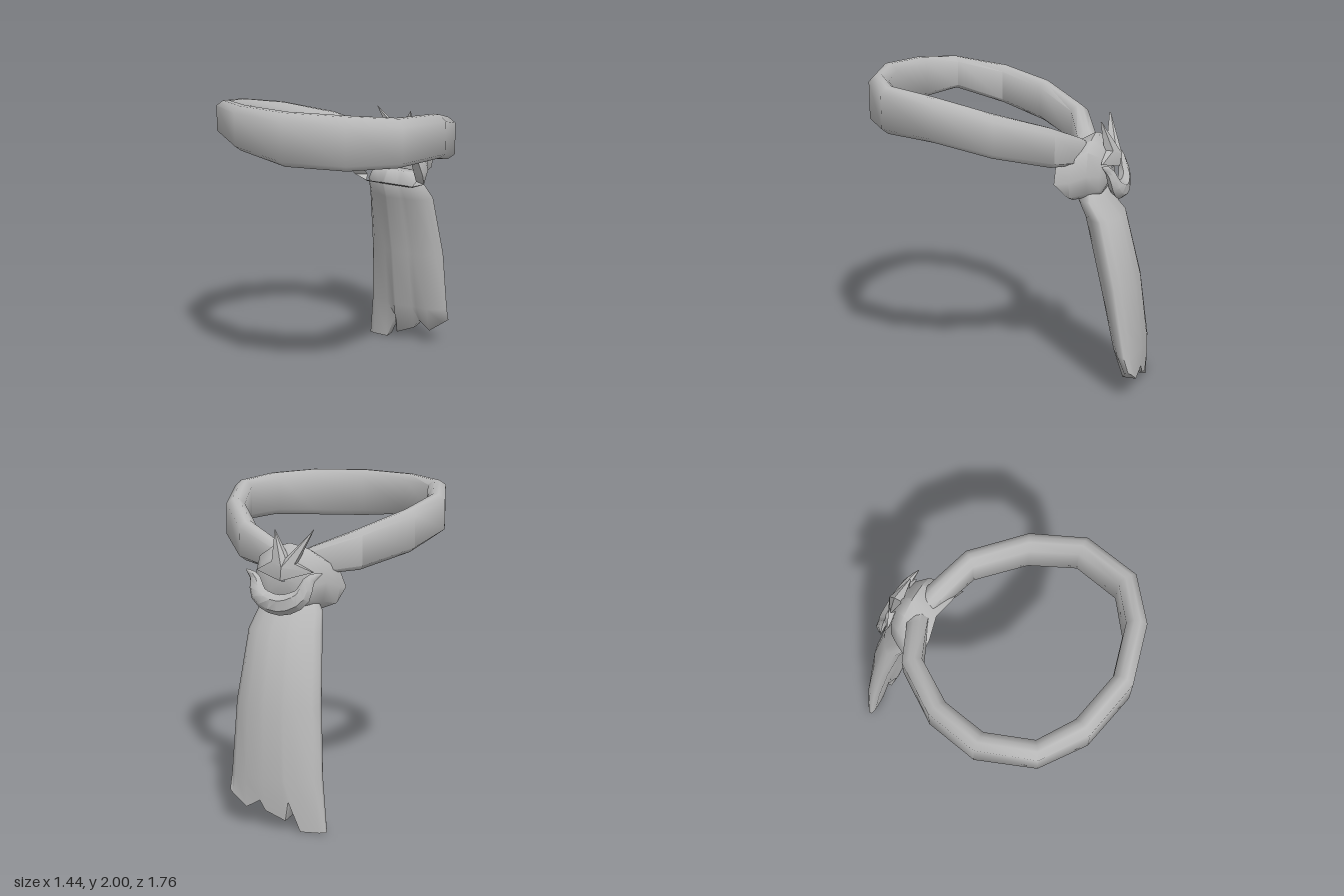
import * as THREE from 'three';
import { toCreasedNormals } from 'three/addons/utils/BufferGeometryUtils.js';

// Skin a list of equal-length rings of [x, y, z]; faces are turned to point outward.
function loft(rings, { loop = false, caps = false, crease = 0.9 } = {}) {
  const n = rings[0].length, m = rings.length, p = rings.flat(), idx = [];
  for (let r = 0; r < (loop ? m : m - 1); r++) {
    for (let i = 0; i < n; i++) {
      const a = r * n + i, b = r * n + (i + 1) % n;
      const c = ((r + 1) % m) * n + i, d = ((r + 1) % m) * n + (i + 1) % n;
      idx.push(a, b, d, a, d, c);
    }
  }
  if (caps) {
    // zip opposite sides of the end rings together
    for (const [o, flip] of [[0, true], [(m - 1) * n, false]]) {
      for (let i = 0; i < n / 2 - 1; i++) {
        const a = o + i, b = o + i + 1, c = o + n - 2 - i, d = o + n - 1 - i;
        idx.push(...(flip ? [a, c, b, a, d, c] : [a, b, c, a, c, d]));
      }
    }
  }
  const v = p.map((q) => new THREE.Vector3(...q));
  const mid = new THREE.Box3().setFromPoints(v).getCenter(new THREE.Vector3());
  const w = v.map((q) => q.clone().sub(mid));
  let volume = 0;
  for (let i = 0; i < idx.length; i += 3) {
    volume += w[idx[i]].dot(w[idx[i + 1]].clone().cross(w[idx[i + 2]]));
  }
  if (volume < 0) idx.reverse();
  const g = new THREE.BufferGeometry().setFromPoints(v);
  g.setIndex(idx);
  return toCreasedNormals(g, crease);
}

export function createModel() {
  const group = new THREE.Group();
  const cloth = new THREE.MeshStandardMaterial({ color: 0xb8b8b8 });
  cloth.name = 'grey cloth';
  const add = (name, geometry) => {
    const mesh = new THREE.Mesh(geometry, cloth);
    mesh.name = name;
    group.add(mesh);
  };

  // Neck band: x, z, top, bottom around the loop
  const stations = [
    [0, 0.825, 2, 1.69], [0.345, 0.745, 2, 1.69], [0.575, 0.58, 1.98, 1.7], [0.66, 0.26, 1.95, 1.69],
    [0.575, -0.05, 1.86, 1.6], [0.36, -0.335, 1.75, 1.51], [0.11, -0.445, 1.64, 1.47],
    [0, -0.48, 1.58, 1.42],
    [-0.11, -0.445, 1.63, 1.46], [-0.36, -0.335, 1.73, 1.49], [-0.575, -0.05, 1.83, 1.57],
    [-0.66, 0.26, 1.9, 1.65], [-0.575, 0.58, 1.96, 1.75], [-0.345, 0.745, 1.985, 1.72],
  ];
  const section = [[1, 0.36], [1, -0.38], [0.3, -0.5], [-0.3, -0.5], [-1, -0.38], [-1, 0.36], [-0.3, 0.5], [0.3, 0.5]];
  add('neckBand', loft(stations.map(([x, z, top, bottom], i) => {
    const a = stations[(i + 13) % 14], b = stations[(i + 1) % 14];
    const len = Math.hypot(b[0] - a[0], b[1] - a[1]);
    const nx = -(b[1] - a[1]) / len, nz = (b[0] - a[0]) / len;
    return section.map(([s, h]) => [x + nx * s * 0.06, (top + bottom) / 2 + h * (top - bottom), z + nz * s * 0.06]);
  }), { loop: true, crease: 1.1 }));

  // Knot: a shell open to the front, its side rims curled inward
  const knot = [
    // z, half width, top, bottom
    [-0.345, 0.285, 1.55, 1.27], [-0.435, 0.28, 1.6, 1.26], [-0.53, 0.23, 1.655, 1.28],
    [-0.6, 0.18, 1.6, 1.3], [-0.635, 0.1, 1.52, 1.37], [-0.64, 0.01, 1.46, 1.44],
  ];
  const knotShape = [[0, 1], [0.5, 0.85], [0.85, 0.55], [1, -0.2], [0.9, -0.8], [0.6, -1]];
  const knotRing = [...knotShape, ...knotShape.slice(1).reverse().map(([x, y]) => [-x, y])];
  const knotRings = knot.map(([z, w, top, bottom], r) => knotRing.map(([x, y]) => [
    x * w, (top + bottom) / 2 + y * (top - bottom) / 2,
    z - (r > 0 ? 0 : y < -0.5 ? 0.08 : x === 0 ? 0.03 : 0),
  ]));
  const rim = knotRings[0].map(([x, y, z]) => (Math.abs(x) > 0.2 ? [x * 0.7, y, z - 0.04] : [x, y, z]));
  add('knot', loft([rim, ...knotRings], { crease: 1.1 }));

  // Hanging tail: a padded panel with a ragged hem
  const hem = [[-0.335, 0], [-0.19, 0], [-0.12, 0.18], [-0.1, 0.06], [0.025, 0.11], [0.06, 0.17], [0.15, 0.115], [0.27, 0.2]];
  const rows = [
    // y, left x, right x, centre z, half thickness
    [1.345, -0.16, 0.16, -0.53, 0.04], [1.26, -0.2, 0.2, -0.535, 0.09], [1.15, -0.225, 0.23, -0.61, 0.115],
    [0.73, -0.26, 0.265, -0.715, 0.115], [0.3, -0.3, 0.27, -0.79, 0.09], [0, -0.335, 0.27, -0.815, 0.05],
  ];
  const columns = [0, 0.06, 0.24, 0.355, 0.388, 0.595, 0.653, 0.8, 0.94, 1];
  const hemPoints = [hem[0], [-0.3, 0], ...hem.slice(1, 7), [0.24, 0.18], hem[7]];
  add('tail', loft(rows.map(([y, left, right, z, t], r) => {
    const last = r === rows.length - 1;
    const side = (s) => columns.map((f, i) => {
      const hy = hemPoints[i][1];
      const bulge = 0.12 + 0.88 * Math.pow(Math.abs(Math.sin(Math.PI * f)), 0.6);
      const pleat = s > 0 ? 0.012 * Math.cos(f * 15) : 0;
      return [
        last ? hemPoints[i][0] : left + f * (right - left),
        last ? hy : y,
        z + (last ? hy * -0.06 : 0) + s * t * bulge + pleat,
      ];
    });
    return [...side(1), ...side(-1).reverse()];
  }), { caps: true, crease: 1.3 }));

  // Crescent clasp on the back of the knot, with outturned tips
  const arc = new THREE.CatmullRomCurve3([
    [0.24, 1.5, -0.63], [0.175, 1.46, -0.66], [0.13, 1.36, -0.69], [0, 1.31, -0.7],
    [-0.13, 1.36, -0.69], [-0.175, 1.46, -0.66], [-0.24, 1.5, -0.63],
  ].map((q) => new THREE.Vector3(...q)));
  add('crescent', loft(Array.from({ length: 17 }, (_, i) => {
    const u = i / 16, c = arc.getPoint(u), d = arc.getTangent(u);
    const out = new THREE.Vector3(d.y, -d.x, 0).normalize();
    const w = 0.004 + 0.058 * Math.sin(Math.PI * u);
    return Array.from({ length: 6 }, (_, k) => {
      const a = k / 6 * Math.PI * 2;
      const q = c.clone().addScaledVector(out, Math.cos(a) * w);
      return [q.x, q.y, q.z + Math.sin(a) * w * 0.75];
    });
  }), { caps: true }));

  // Star above the crescent: two tall spikes and two short side points
  const outline = [
    [0, 1.45], [0.18, 1.5], [0.065, 1.56], [0.075, 1.735], [-0.02, 1.58], [-0.17, 1.745], [-0.08, 1.55], [-0.18, 1.5],
  ];
  const lean = (y) => -0.655 + (y - 1.46) * 0.27;
  const isTip = ([x, y]) => y > 1.7 || Math.abs(x) > 0.175;
  const face = (s) => outline.map(([x, y]) => {
    const tip = isTip([x, y]);
    return [x, y, lean(y) + (tip ? s * 0.004 + (y < 1.6 ? 0.03 : 0) : s * 0.028)];
  });
  const centre = (z) => outline.map(() => [-0.01, 1.53, z]);
  add('star', loft([centre(-0.61), face(1), face(-1), centre(-0.695)], { crease: 0.5 }));

  return group;
}
